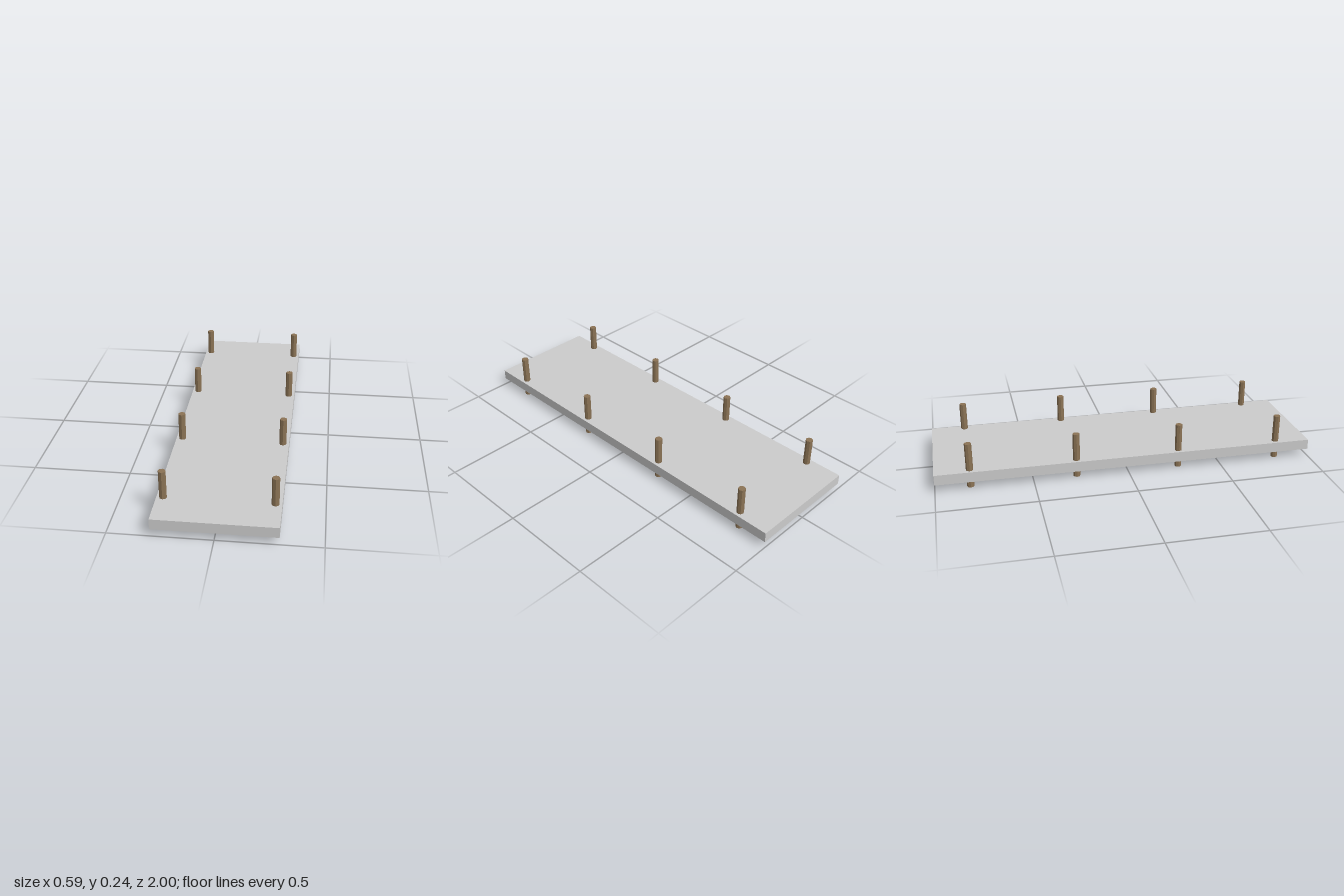
import * as THREE from 'three';

export function createModel() {
  const model = new THREE.Group();
  model.name = 'dock';

  const deckMaterial = new THREE.MeshStandardMaterial({ color: 0xcccccc });
  const postMaterial = new THREE.MeshStandardMaterial({ color: 0x8b7355, flatShading: true });

  // Flat deck slab
  const deck = new THREE.Mesh(new THREE.BoxGeometry(0.592, 0.054, 2), deckMaterial);
  deck.name = 'deck';
  deck.position.y = 0.065;
  model.add(deck);

  // Eight-sided posts in two rows, running through the deck
  const postHeight = 0.238;
  const postGeometry = new THREE.CylinderGeometry(0.0184, 0.0184, postHeight, 8);
  for (const side of [-1, 1]) {
    for (let i = 0; i < 4; i++) {
      const post = new THREE.Mesh(postGeometry, postMaterial);
      post.name = `${side > 0 ? 'left' : 'right'}Post${i + 1}`;
      post.position.set(side * 0.264, postHeight / 2, -0.82 + (i * 1.64) / 3);
      model.add(post);
    }
  }

  return model;
}
